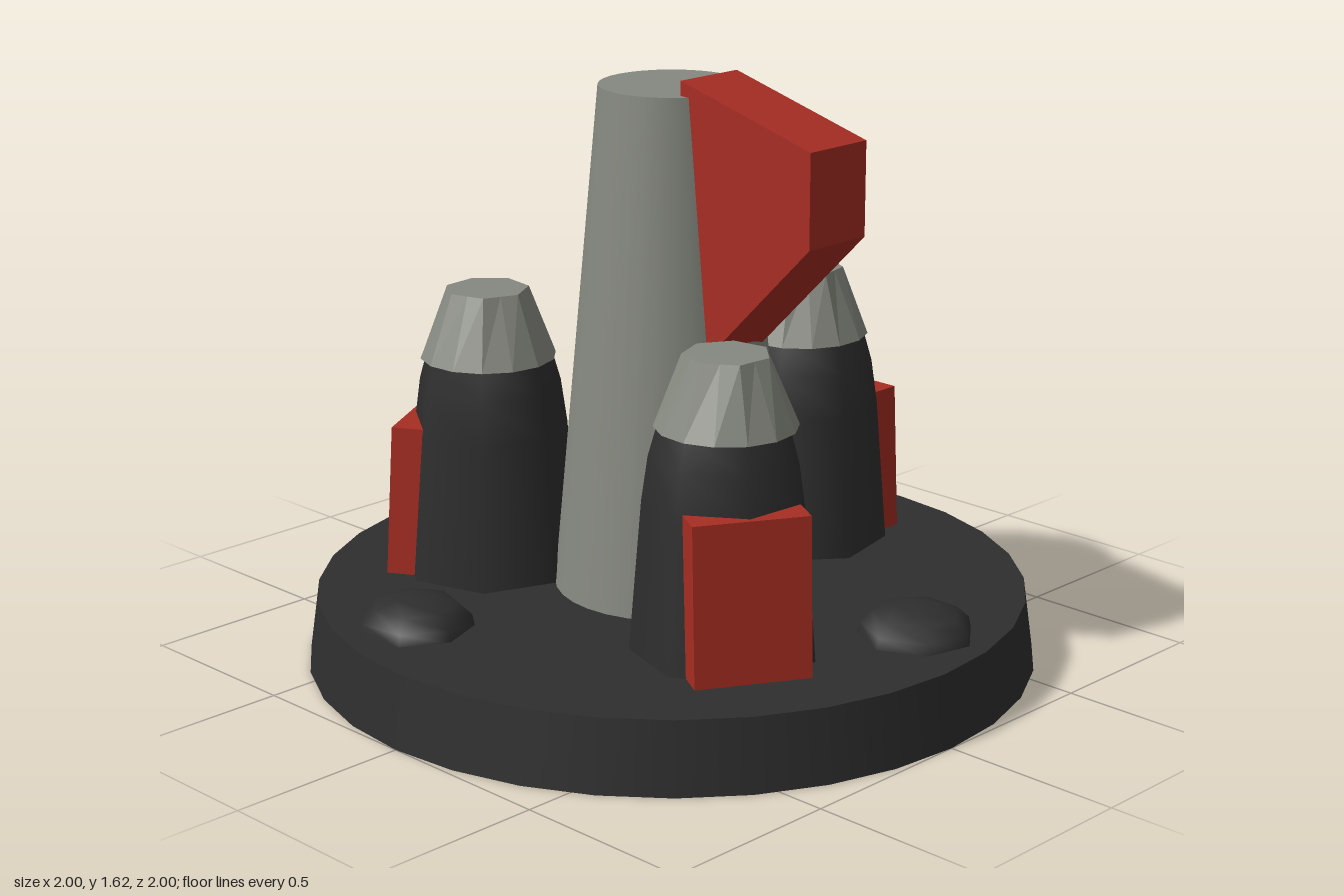
import * as THREE from 'three';

const dark = new THREE.MeshStandardMaterial({ color: 0x2e2e2e });
dark.name = 'charcoal';
const grey = new THREE.MeshStandardMaterial({ color: 0x868980 });
grey.name = 'warm grey';
const red = new THREE.MeshStandardMaterial({ color: 0xa72d23 });
red.name = 'brick red';

const BASE_TOP = 0.195;

function part(name, geometry, material, parent) {
  const mesh = new THREE.Mesh(geometry, material);
  mesh.name = name;
  parent.add(mesh);
  return mesh;
}

function flat(geometry) {
  const g = geometry.toNonIndexed();
  g.computeVertexNormals();
  return g;
}

// Profile of [radius, height] pairs, listed from bottom to top
function lathe(profile, sides) {
  return new THREE.LatheGeometry(profile.map(([r, y]) => new THREE.Vector2(r, y)), sides);
}

// Cap with a round lower rim and a seven-sided top
function capGeometry() {
  const g = new THREE.CylinderGeometry(0.115, 0.187, 0.19, 14);
  const p = g.attributes.position;
  const inset = Math.cos(Math.PI / 7);
  for (let i = 0; i < p.count; i++) {
    if (p.getY(i) < 0) continue;
    const step = Math.round(Math.atan2(p.getX(i), p.getZ(i)) / (Math.PI / 7));
    if (step % 2 !== 0) p.setXYZ(i, p.getX(i) * inset, p.getY(i), p.getZ(i) * inset);
  }
  return flat(g);
}

// Box plate that leans inward towards its top
function plateGeometry() {
  const g = new THREE.BoxGeometry(0.31, 0.425, 0.115);
  const p = g.attributes.position;
  for (let i = 0; i < p.count; i++) p.setZ(i, p.getZ(i) - 0.0125 * Math.sign(p.getY(i)));
  return flat(g);
}

// Pod facing outward along its own +z
function buildPod(angle) {
  const pod = new THREE.Group();
  pod.name = 'pod';
  const body = part('podBody', lathe([[0.25, 0.19], [0.217, 0.6], [0.2, 0.72], [0.176, 0.805]], 7), dark, pod);
  body.position.z = 0.52;
  const cap = part('podCap', capGeometry(), grey, pod);
  cap.position.set(0, 0.895, 0.52);
  const plate = part('podPlate', plateGeometry(), red, pod);
  plate.position.set(0, 0.4075, 0.705);
  pod.rotation.y = angle;
  return pod;
}

export function createModel() {
  const model = new THREE.Group();
  model.name = 'launchPad';

  // Round base
  const base = part('base', new THREE.CylinderGeometry(0.972, 1, BASE_TOP, 32), dark, model);
  base.position.y = BASE_TOP / 2;

  // Tapered central column
  const column = part('column', new THREE.CylinderGeometry(0.195, 0.322, 1.39, 32), grey, model);
  column.position.y = 0.885;

  // Side fin near the top of the column
  const outline = [[0.135, 1.62], [0.135, 0.8], [0.585, 1.25], [0.585, 1.5]];
  const shape = new THREE.Shape(outline.map(([x, y]) => new THREE.Vector2(x, y)));
  const fin = part('columnFin', new THREE.ExtrudeGeometry(shape, { depth: 0.21, bevelEnabled: false }), red, model);
  fin.position.z = -0.105;

  // Three pods, with a low bump on the base between each pair
  for (let i = 0; i < 3; i++) {
    const turn = (i * 2 * Math.PI) / 3;
    model.add(buildPod(Math.PI + turn));
    const bump = part('bump', lathe([[0.157, 0.19], [0.15, 0.225], [0.115, 0.258], [0.055, 0.275], [0, 0.278]], 7), dark, model);
    const a = Math.atan2(-0.235, 0.72) + turn;
    bump.position.set(0.762 * Math.sin(a), 0, 0.762 * Math.cos(a));
    bump.rotation.y = a;
  }
  return model;
}
